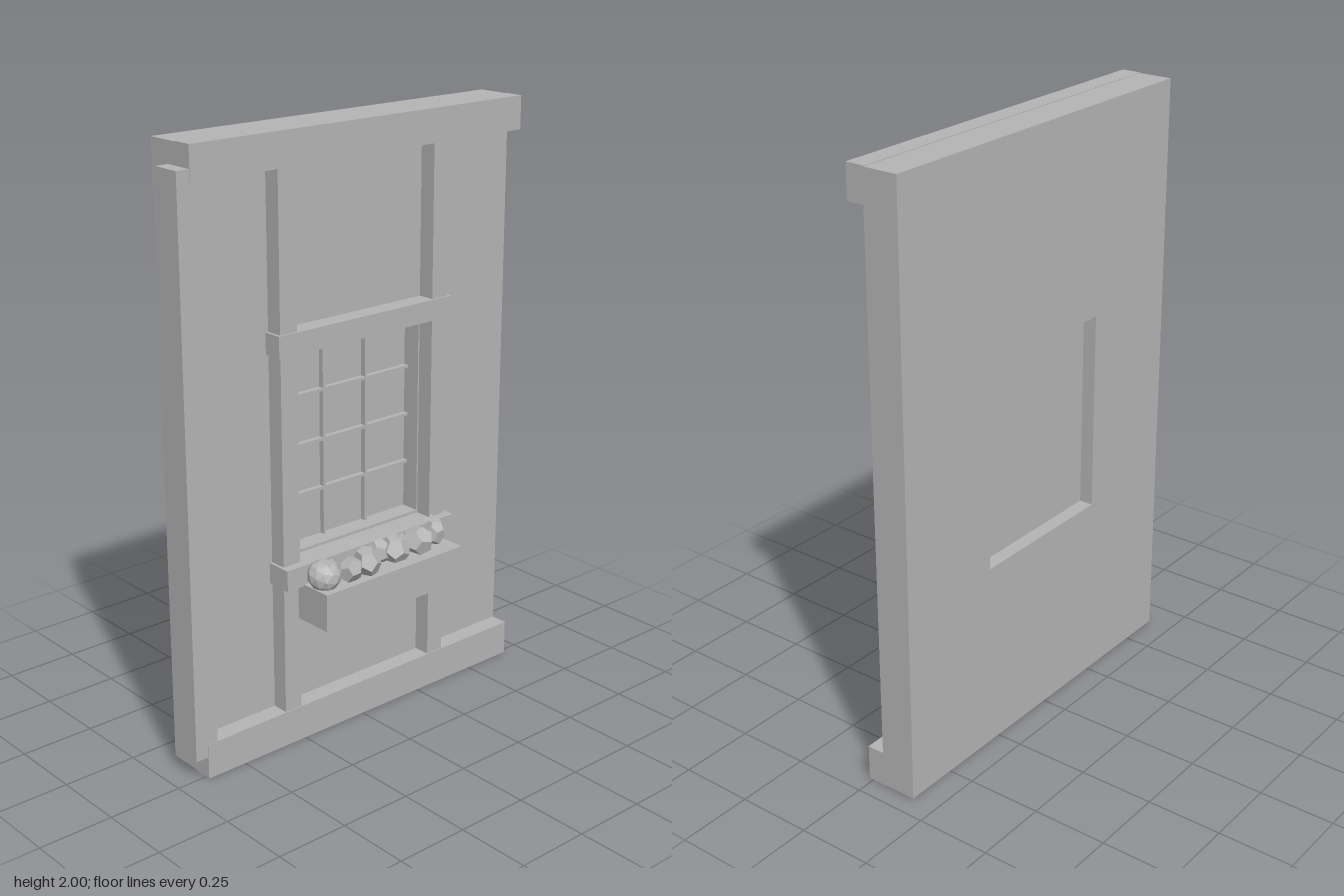
import * as THREE from 'three';

export function createModel() {
  const model = new THREE.Group();
  model.name = 'timberWallWithWindow';
  const gray = new THREE.MeshStandardMaterial({ color: 0xb4b4b4, flatShading: true });
  gray.name = 'plain gray';
  const grayThin = gray.clone();
  grayThin.side = THREE.DoubleSide;

  const add = (name, geometry, material = gray, parent = model) => {
    const mesh = new THREE.Mesh(geometry, material);
    mesh.name = name;
    parent.add(mesh);
    return mesh;
  };
  // Box given by its limits on each axis
  const box = (name, x0, x1, y0, y1, z0, z1) => {
    const mesh = add(name, new THREE.BoxGeometry(x1 - x0, y1 - y0, z1 - z0));
    mesh.position.set((x0 + x1) / 2, (y0 + y1) / 2, (z0 + z1) / 2);
    return mesh;
  };
  const rectangle = (P, x0, x1, y0, y1) => {
    const p = new P();
    p.moveTo(x0, y0).lineTo(x1, y0).lineTo(x1, y1).lineTo(x0, y1).closePath();
    return p;
  };

  // Wall slab with window opening
  const [wx0, wx1, wy0, wy1] = [-0.255, 0.295, 0.64, 1.31];
  const wallShape = rectangle(THREE.Shape, -0.643, 0.684, 0.004, 1.998);
  wallShape.holes.push(rectangle(THREE.Path, wx0, wx1, wy0, wy1));
  const wall = add('wall', new THREE.ExtrudeGeometry(wallShape, { depth: 0.12, bevelEnabled: false }));
  wall.position.z = -0.165;

  // Timber frame
  box('topBeam', -0.643, 0.682, 1.89, 2, -0.05, 0.016);
  box('bottomBeam', -0.643, 0.682, 0, 0.12, -0.05, 0.016);
  box('cornerPost', -0.688, -0.605, 0.075, 1.93, -0.085, 0.014);
  box('rightPost', -0.328, -0.262, 0.1, 1.9, -0.05, 0.013);
  box('leftPost', 0.3, 0.367, 0.1, 1.9, -0.05, 0.013);
  box('lintel', -0.338, 0.38, 1.317, 1.387, -0.05, 0.02);
  box('sill', -0.338, 0.38, 0.56, 0.63, -0.05, 0.044);

  // Window pane and glazing bars
  box('pane', wx0, wx1, wy0, wy1, -0.118, -0.11);
  for (const x of [-0.069, 0.109]) box('verticalBar', x - 0.005, x + 0.005, wy0, wy1, -0.112, -0.092);
  for (const y of [0.803, 0.97, 1.137]) box('horizontalBar', wx0, wx1, y - 0.005, y + 0.005, -0.112, -0.092);

  // Planter box
  box('planter', -0.272, 0.315, 0.44, 0.566, 0.016, 0.155);

  // Faceted foliage clumps: x, y, z, radius, turn, sides kind
  const clumps = [
    [-0.23, 0.603, 0.093, 0.056, 0.4, 1],
    [-0.135, 0.6, 0.112, 0.046, 1.3, 0],
    [-0.06, 0.603, 0.105, 0.053, 2.1, 0],
    [0.025, 0.6, 0.065, 0.044, 0.9, 0],
    [0.08, 0.6, 0.085, 0.052, 2.8, 0],
    [0.18, 0.603, 0.085, 0.055, 0.2, 0],
    [0.268, 0.6, 0.068, 0.045, 1.7, 0],
  ];
  for (const [x, y, z, r, turn, kind] of clumps) {
    const geometry = kind ? new THREE.IcosahedronGeometry(r, 1) : new THREE.DodecahedronGeometry(r);
    const clump = add('foliage', geometry);
    clump.position.set(x, y, z);
    clump.rotation.set(turn, turn * 1.7, turn * 0.6);
    clump.scale.y = 0.85;
  }

  // Five-petalled star flowers, lying nearly flat
  const star = new THREE.Shape();
  for (let i = 0; i < 10; i++) {
    const a = (i * Math.PI) / 5;
    const r = i % 2 ? 0.017 : 0.036;
    star[i ? 'lineTo' : 'moveTo'](r * Math.sin(a), r * Math.cos(a));
  }
  star.closePath();
  const starGeometry = new THREE.ShapeGeometry(star).rotateX(-Math.PI / 2);
  const flowers = [
    [-0.23, 0.652, 0.112, 0.1, 0],
    [-0.065, 0.654, 0.05, 0.5, 0.08],
    [0.083, 0.652, 0.108, 0.3, -0.06],
    [0.27, 0.65, 0.066, 0.8, 0.05],
  ];
  for (const [x, y, z, turn, tilt] of flowers) {
    const flower = add('flower', starGeometry, grayThin);
    flower.position.set(x, y, z);
    flower.rotation.set(tilt, turn, 0);
  }
  return model;
}
